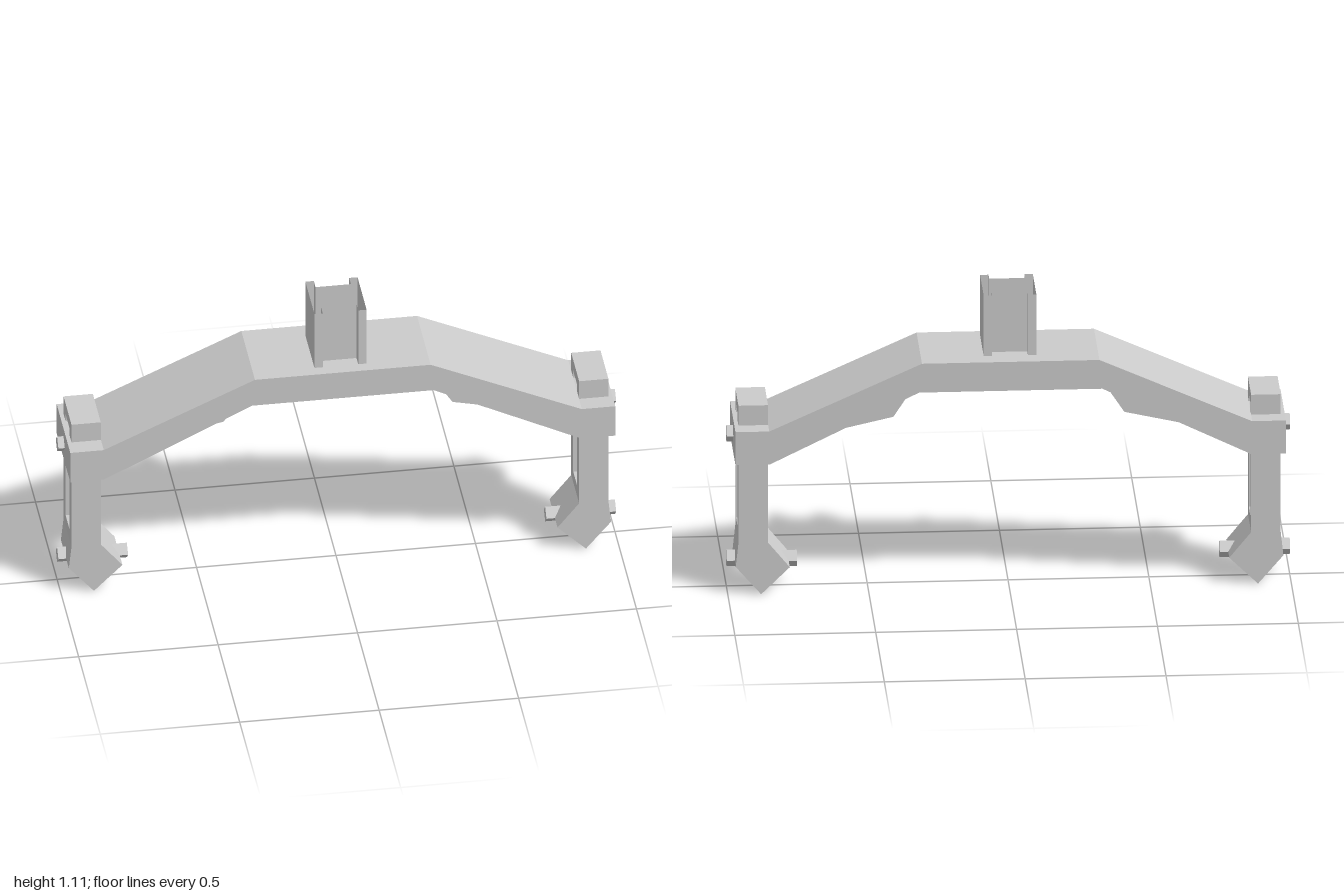
import * as THREE from 'three';

const material = new THREE.MeshStandardMaterial({ color: 0xcccccc, flatShading: true });
const openMaterial = new THREE.MeshStandardMaterial({ color: 0xcccccc, flatShading: true, side: THREE.DoubleSide });

const shapeOf = (points) => new THREE.Shape(points.map(([x, y]) => new THREE.Vector2(x, y)));

// Extrudes a shape along z, centred on z = 0
function slab(shape, depth) {
  const geometry = new THREE.ExtrudeGeometry(shape, { depth, bevelEnabled: false });
  return geometry.translate(0, 0, -depth / 2);
}

function add(parent, name, geometry, mat = material) {
  const mesh = new THREE.Mesh(geometry, mat);
  mesh.name = name;
  parent.add(mesh);
  return mesh;
}

// Four-sided bolt lying along x, standing on its edge
function bolt(parent, name, x0, x1, y, radius = 0.031) {
  const geometry = new THREE.CylinderGeometry(radius, radius, Math.abs(x1 - x0), 4);
  geometry.rotateZ(Math.PI / 2).translate((x0 + x1) / 2, y, 0);
  add(parent, name, geometry);
}

// Vertical walls along a closed outline, open at top and bottom
function openTube(outline, y0, y1) {
  const positions = [];
  outline.forEach(([ax, az], i) => {
    const [bx, bz] = outline[(i + 1) % outline.length];
    positions.push(ax, y0, az, bx, y0, bz, bx, y1, bz, ax, y0, az, bx, y1, bz, ax, y1, az);
  });
  const geometry = new THREE.BufferGeometry();
  geometry.setAttribute('position', new THREE.Float32BufferAttribute(positions, 3));
  geometry.computeVertexNormals();
  return geometry;
}

function createSide(side) {
  const group = new THREE.Group();
  group.name = side > 0 ? 'leftLeg' : 'rightLeg';

  // Slotted shaft, rising through the beam end
  const frame = shapeOf([[-0.092, 0.195], [0.092, 0.195], [0.092, 0.715], [-0.092, 0.715]]);
  frame.holes.push(new THREE.Path([[-0.045, 0.24], [-0.045, 0.67], [0.045, 0.67], [0.045, 0.24]]
    .map(([x, y]) => new THREE.Vector2(x, y))));
  add(group, 'slottedShaft', slab(frame, 0.105).rotateY(Math.PI / 2).translate(side * 0.91, 0, 0));

  // Pointed foot
  const foot = [[0.9625, 0.195], [0.972, 0.105], [0.882, 0], [0.78, 0.1], [0.8575, 0.195]];
  add(group, 'foot', slab(shapeOf(foot.map(([x, y]) => [side * x, y])), 0.184));

  // Bolts
  bolt(group, 'outerFootBolt', side * 0.9, side, 0.106);
  bolt(group, 'innerFootBolt', side * 0.75, side * 0.88, 0.1);
  bolt(group, 'beamBolt', side * 0.965, side, 0.577);

  // Narrow rib under the sloping arm
  const rib = [[0.75, 0.568], [0.41, 0.645], [0.325, 0.775], [0.36, 0.8], [0.75, 0.6]];
  add(group, 'rib', slab(shapeOf(rib.map(([x, y]) => [side * x, y])), 0.1));

  // Peg under the middle of the beam
  const peg = new THREE.CylinderGeometry(0.042, 0.042, 0.05, 4);
  add(group, 'peg', peg.translate(side * 0.157, 0.775, 0));
  return group;
}

export function createModel() {
  const model = new THREE.Group();
  model.name = 'archedSupport';

  // Arched beam
  const half = [[0.325, 0.775], [0.855, 0.515], [0.977, 0.515], [0.977, 0.64], [0.857, 0.64], [0.315, 0.884]];
  const mirrored = half.map(([x, y]) => [-x, y]).reverse();
  add(model, 'beam', slab(shapeOf([...half, ...mirrored]), 0.316));

  // Hollow post with a recess in its front and back
  const [x0, x1, x2, x3] = [-0.095, -0.065, 0.062, 0.092];
  const [z0, z1, z2, z3] = [-0.095, -0.055, 0.075, 0.115];
  const outline = [
    [x0, z3], [x1, z3], [x1, z2], [x2, z2], [x2, z3], [x3, z3],
    [x3, z0], [x2, z0], [x2, z1], [x1, z1], [x1, z0], [x0, z0],
  ];
  add(model, 'post', openTube(outline, 0.884, 1.113), openMaterial);

  for (const side of [-1, 1]) model.add(createSide(side));
  return model;
}
